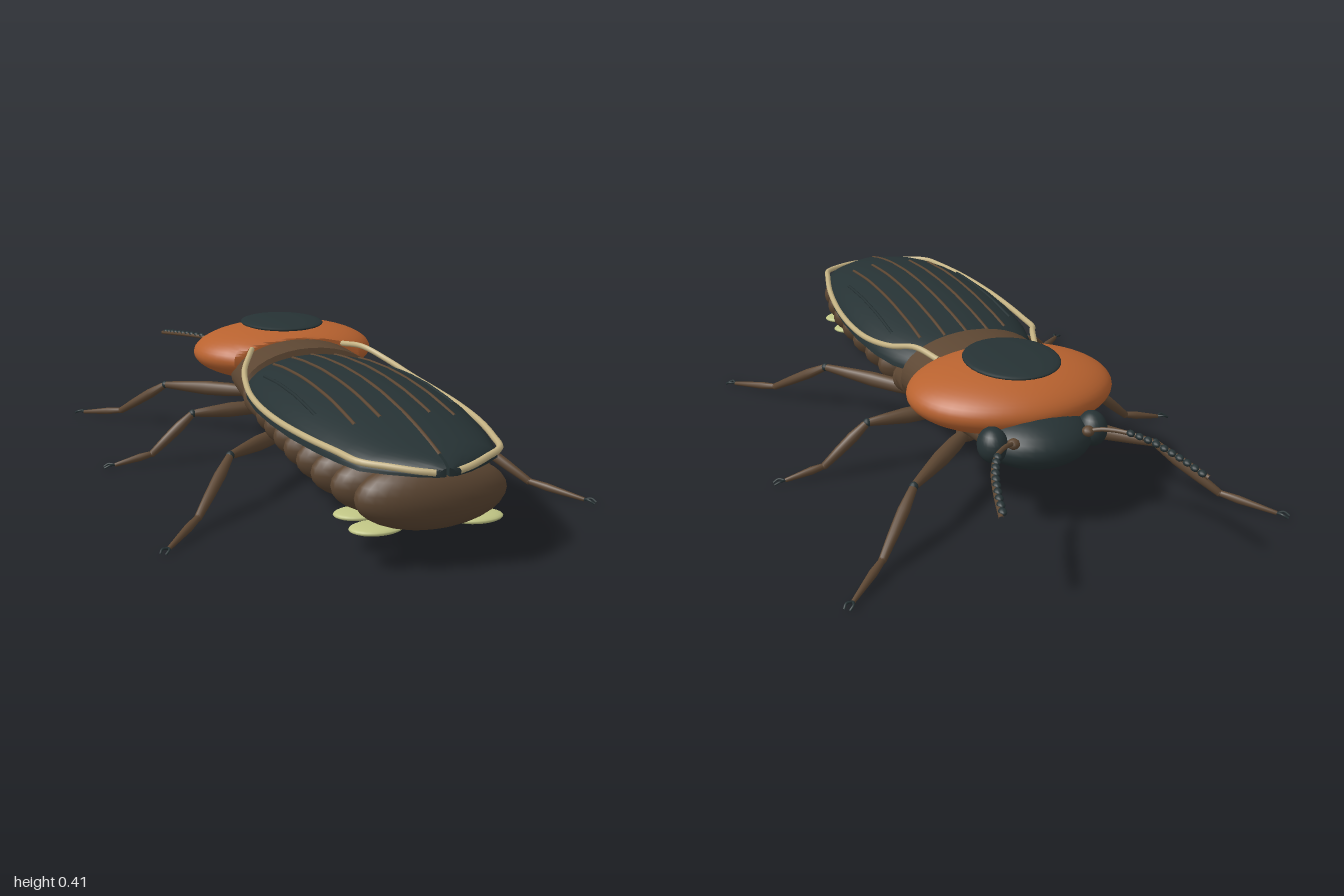
import * as THREE from 'three';
import { toCreasedNormals } from 'three/addons/utils/BufferGeometryUtils.js';

const mat = (name, color) => new THREE.MeshStandardMaterial({ name, color });
const V = (x, y, z) => new THREE.Vector3(x, y, z);

// Closed solid through rings of points; rings run counter-clockwise seen from +z, in order of rising z
function loft(rings, crease = 0.7) {
  const n = rings[0].length, pos = [], idx = [];
  rings.forEach(r => r.forEach(p => pos.push(p.x, p.y, p.z)));
  for (let i = 0; i < rings.length - 1; i++)
    for (let j = 0; j < n; j++) {
      const a = i * n + j, b = i * n + (j + 1) % n;
      idx.push(a, b, a + n, b, b + n, a + n);
    }
  [0, rings.length - 1].forEach(i => {
    const c = rings[i].reduce((s, p) => s.add(p), V(0, 0, 0)).divideScalar(n);
    const ci = pos.length / 3;
    pos.push(c.x, c.y, c.z);
    for (let j = 0; j < n; j++) {
      const a = i * n + j, b = i * n + (j + 1) % n;
      if (i === 0) idx.push(ci, b, a); else idx.push(ci, a, b);
    }
  });
  const g = new THREE.BufferGeometry();
  g.setAttribute('position', new THREE.Float32BufferAttribute(pos, 3));
  g.setIndex(idx);
  return toCreasedNormals(g, crease);
}

// Wing case profile: z, half width, dome height
const CASE = [[-0.06, 0.2, 0.085], [0, 0.232, 0.094], [0.1, 0.256, 0.104], [0.25, 0.272, 0.113],
  [0.4, 0.272, 0.115], [0.55, 0.262, 0.108], [0.7, 0.238, 0.092], [0.8, 0.215, 0.075],
  [0.88, 0.188, 0.058], [0.93, 0.13, 0.045], [0.97, 0.07, 0.033], [0.99, 0.025, 0.022]];
const BASE = 0.262;

function caseHeight(x, z) {
  let i = 0;
  while (i < CASE.length - 2 && CASE[i + 1][0] < z) i++;
  const [z0, w0, h0] = CASE[i], [z1, w1, h1] = CASE[i + 1];
  const t = (z - z0) / (z1 - z0), w = w0 + (w1 - w0) * t, h = h0 + (h1 - h0) * t;
  return BASE + h * Math.sqrt(Math.max(0, 1 - (x / w) ** 2));
}

export function createModel() {
  const root = new THREE.Group();
  root.name = 'beetle';
  const brown = mat('brown body', 0x5c4632);
  const dark = mat('dark shell', 0x263234);
  const orange = mat('orange shield', 0xb8622f);
  const cream = mat('cream trim', 0xc4b283);
  const glow = mat('pale green lantern', 0xc0c585);

  const add = (name, geo, m, parent = root) => {
    const mesh = new THREE.Mesh(geo, m);
    mesh.name = name;
    parent.add(mesh);
    return mesh;
  };
  const ball = (name, m, c, r, parent = root, seg = 32) => {
    const g = new THREE.SphereGeometry(1, seg, seg / 2).scale(...r).translate(...c);
    return add(name, g, m, parent);
  };
  const tube = (name, m, pts, r, parent = root, seg = 40) =>
    add(name, new THREE.TubeGeometry(new THREE.CatmullRomCurve3(pts), seg, r, 8), m, parent);
  // Spindle from a to b; radii are spaced evenly along it
  const limb = (name, m, a, b, radii, parent) => {
    const len = a.distanceTo(b), n = radii.length - 1;
    const profile = [new THREE.Vector2(0, 0),
      ...radii.map((r, i) => new THREE.Vector2(r, len * i / n)), new THREE.Vector2(0, len)];
    const mesh = add(name, new THREE.LatheGeometry(profile, 12), m, parent);
    mesh.position.copy(a);
    mesh.quaternion.setFromUnitVectors(V(0, 1, 0), b.clone().sub(a).normalize());
  };

  // Thorax: z, centre y, half width, half height
  const thorax = [[-0.58, 0.225, 0.1, 0.045], [-0.5, 0.23, 0.15, 0.065], [-0.36, 0.245, 0.19, 0.088],
    [-0.25, 0.25, 0.205, 0.1], [-0.24, 0.258, 0.215, 0.11], [-0.06, 0.245, 0.225, 0.123],
    [-0.05, 0.22, 0.225, 0.1], [0.06, 0.2, 0.21, 0.08]];
  add('thorax', loft(thorax.map(([z, cy, rx, ry]) => Array.from({ length: 36 }, (_, j) => {
    const a = j / 36 * Math.PI * 2;
    return V(rx * Math.cos(a), cy + ry * Math.sin(a), z);
  })), 0.5), brown);

  // Abdomen rings
  for (let i = 0; i < 8; i++) {
    const rx = [0.215, 0.225, 0.232, 0.238, 0.24, 0.238, 0.225, 0.205][i];
    ball('abdomenSegment', brown, [0, 0.192, 0.055 + i * 0.12], [rx, 0.093, 0.08]);
  }

  // Neck shield, cut flat at the rear, with a dark central disc
  const shield = new THREE.SphereGeometry(1, 48, 32).scale(0.303, 0.095, 0.24).translate(0, 0.305, -0.37);
  const sp = shield.attributes.position;
  for (let i = 0; i < sp.count; i++) sp.setZ(i, Math.min(sp.getZ(i), -0.2));
  add('neckShield', toCreasedNormals(shield, 0.6), orange);
  ball('shieldDisc', dark, [0, 0.396, -0.378], [0.137, 0.015, 0.16]);

  // Head
  ball('head', dark, [0, 0.235, -0.555], [0.16, 0.078, 0.145]);

  // Seam between the wing cases
  const seamPts = [];
  for (let z = -0.06; z < 0.97; z += 0.1) seamPts.push(V(0, caseHeight(0, z) - 0.002, z));
  tube('wingSeam', brown, seamPts, 0.006);

  for (const s of [1, -1]) {
    const side = new THREE.Group();
    side.name = s > 0 ? 'leftSide' : 'rightSide';
    root.add(side);

    ball('eye', dark, [s * 0.148, 0.252, -0.602], [0.042, 0.05, 0.05], side, 24);

    // Wing case
    add('wingCase', loft(CASE.map(([z, w, h]) => {
      const ring = [];
      for (let j = 0; j <= 12; j++) {
        const a = j / 12 * Math.PI / 2;
        ring.push(V(s * Math.max(0.004, w * Math.cos(a)), BASE + h * Math.sin(a), z));
      }
      ring.push(V(s * 0.004, BASE, z));
      return s > 0 ? ring : ring.reverse();
    })), dark, side);

    // Raised ribs on the wing case
    [[0.07, -0.03, brown], [0.14, 0.0, brown], [0.2, 0.1, dark]].forEach(([x, z0, m]) => {
      const z1 = x > 0.18 ? 0.58 : 0.72;
      const pts = Array.from({ length: 9 }, (_, i) => {
        const z = z0 + (z1 - z0) * i / 8;
        return V(s * x, caseHeight(x, z), z);
      });
      tube('wingRib', m, pts, 0.005, side);
    });

    // Cream edging
    tube('wingTrim', cream, [[0.155, 0.345, -0.2], [0.19, 0.352, -0.1], [0.235, 0.326, 0], [0.264, 0.302, 0.14],
      [0.275, 0.293, 0.27], [0.272, 0.29, 0.45], [0.248, 0.291, 0.65], [0.215, 0.291, 0.8],
      [0.19, 0.288, 0.885], [0.13, 0.284, 0.935], [0.07, 0.278, 0.972], [0.03, 0.274, 0.987]]
      .map(([x, y, z]) => V(s * x, y, z)), 0.009, side, 80);

    // Antenna with a row of beads on its inner edge
    const path = [[0.1, 0.27, -0.65], [0.14, 0.283, -0.68], [0.19, 0.286, -0.73], [0.232, 0.282, -0.81],
      [0.262, 0.272, -0.9], [0.285, 0.26, -0.99]].map(([x, y, z]) => V(s * x, y, z));
    tube('antenna', brown, path, 0.0065, side);
    ball('antennaBase', brown, [s * 0.11, 0.272, -0.655], [0.018, 0.015, 0.018], side, 12);
    const curve = new THREE.CatmullRomCurve3(path);
    for (let i = 0; i < 10; i++) {
      const p = curve.getPointAt(0.34 + i * 0.068);
      ball('antennaBead', dark, [p.x - s * 0.006, p.y + 0.004, p.z], [0.011, 0.009, 0.014], side, 12);
    }

    // Legs: hip, knee, ankle, toe
    const legs = {
      frontLeg: [[0.12, 0.17, -0.34], [0.365, 0.157, -0.58], [0.5, 0.04, -0.72], [0.615, 0.014, -0.84]],
      middleLeg: [[0.12, 0.165, -0.155], [0.365, 0.16, -0.158], [0.5, 0.04, -0.155], [0.62, 0.014, -0.155]],
      rearLeg: [[0.12, 0.135, 0.05], [0.365, 0.155, 0.31], [0.5, 0.04, 0.475], [0.61, 0.014, 0.61]],
    };
    for (const [name, joints] of Object.entries(legs)) {
      const leg = new THREE.Group();
      leg.name = name;
      side.add(leg);
      const [hip, knee, ankle, toe] = joints.map(([x, y, z]) => V(s * x, y, z));
      ball('hip', brown, hip.toArray(), [0.032, 0.03, 0.032], leg, 16);
      limb('thigh', brown, hip, knee, [0.016, 0.023, 0.024, 0.018, 0.011], leg);
      ball('knee', dark, knee.toArray(), [0.013, 0.013, 0.013], leg, 12);
      limb('shin', brown, knee, ankle, [0.011, 0.017, 0.015, 0.011], leg);
      ball('ankle', brown, ankle.toArray(), [0.011, 0.011, 0.011], leg, 12);
      limb('foot', brown, ankle, toe, [0.009, 0.012, 0.009, 0.006], leg);
      const out = toe.clone().sub(ankle).setY(0).normalize();
      const across = V(-out.z, 0, out.x);
      for (const k of [-1, 1]) {
        const mid = toe.clone().addScaledVector(out, 0.018).addScaledVector(across, k * 0.01);
        const tip = toe.clone().addScaledVector(out, 0.034).addScaledVector(across, k * 0.008);
        mid.y += 0.003;
        tip.y -= 0.005;
        tube('claw', dark, [toe, mid, tip], 0.0035, leg, 8);
      }
    }

    // Lanterns under the tail
    for (const z of [0.755, 0.872])
      ball('lantern', glow, [s * 0.138, 0.107, z], [0.072, 0.013, 0.05], side, 24);
  }
  return root;
}
